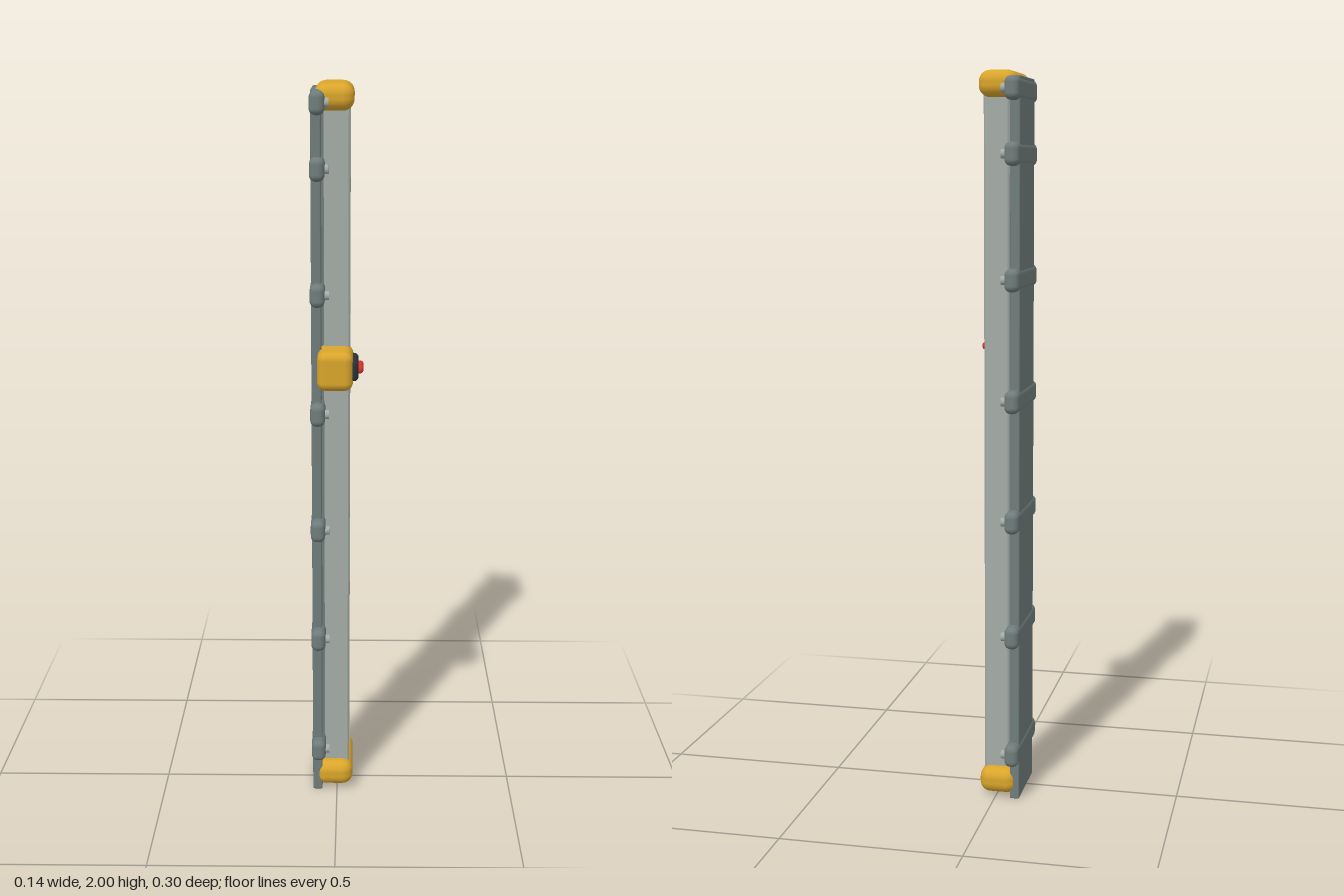
import * as THREE from 'three';
import { RoundedBoxGeometry } from 'three/addons/geometries/RoundedBoxGeometry.js';

const material = (name, color) => {
  const m = new THREE.MeshStandardMaterial({ color });
  m.name = name;
  return m;
};

export function createModel() {
  const yellow = material('yellow plastic', 0xd9a52b);
  const aluminium = material('light aluminium', 0xa4aba5);
  const steel = material('grey steel', 0x6f7c7b);
  const floorDark = material('dark channel', 0x37474a);
  const black = material('black panel', 0x2b3236);
  const red = material('red light', 0xd8332c);

  const model = new THREE.Group();
  model.name = 'wallRail';

  const add = (name, geometry, mat, parent = model) => {
    const mesh = new THREE.Mesh(geometry, mat);
    mesh.name = name;
    parent.add(mesh);
    return mesh;
  };
  // Box given by its limits on each axis, with optional rounded edges
  const block = (name, mat, [x0, x1], [y0, y1], [z0, z1], r = 0, parent = model) => {
    const size = [x1 - x0, y1 - y0, z1 - z0];
    const g = r ? new RoundedBoxGeometry(...size, 4, r) : new THREE.BoxGeometry(...size);
    const mesh = add(name, g, mat, parent);
    mesh.position.set((x0 + x1) / 2, (y0 + y1) / 2, (z0 + z1) / 2);
    return mesh;
  };

  // Mounting plate and the spine that joins it to the rail
  block('backPlate', steel, [-0.069, -0.042], [0, 1.985], [-0.114, 0.082], 0.004);
  block('spine', steel, [-0.045, -0.03], [0.04, 1.95], [-0.075, 0.04]);

  // U-shaped rail, open towards +x (profile in x and -z)
  const c = 0.005;
  const profile = new THREE.Shape([
    [-0.035, -0.055 + c], [-0.035 + c, -0.055], [0.035 - c, -0.055], [0.035, -0.055 + c],
    [0.035, -0.032], [0, -0.032], [0, 0.063], [0.035, 0.063],
    [0.035, 0.089 - c], [0.035 - c, 0.089], [-0.035 + c, 0.089], [-0.035, 0.089 - c],
  ].map(([x, y]) => new THREE.Vector2(x, y)));
  const railGeometry = new THREE.ExtrudeGeometry(profile, { depth: 1.9, bevelEnabled: false });
  railGeometry.rotateX(-Math.PI / 2);
  add('rail', railGeometry, aluminium).position.y = 0.05;
  block('channelFloor', floorDark, [-0.002, 0.004], [0.05, 1.95], [-0.063, 0.032]);

  // End caps
  block('bottomCap', yellow, [-0.06, 0.045], [0.012, 0.085], [-0.124, 0.09], 0.03);
  block('topCap', yellow, [-0.06, 0.045], [1.93, 2], [-0.124, 0.09], 0.03);

  // Mounting brackets with a screw at each end
  const screw = new THREE.CylinderGeometry(0.012, 0.012, 0.02, 20);
  screw.rotateZ(Math.PI / 2);
  for (const y of [0.135, 0.476, 0.8, 1.13, 1.455, 1.784, 1.952]) {
    const bracket = new THREE.Group();
    bracket.name = 'bracket';
    bracket.position.y = y;
    model.add(bracket);
    block('bracketBar', steel, [-0.072, -0.032], [-0.031, 0.031], [-0.152, 0.117], 0.017, bracket);
    for (const z of [-0.126, 0.09]) {
      add('screw', screw, aluminium, bracket).position.set(-0.031, 0, z);
    }
  }

  // Sliding carriage with its indicator
  const carriage = new THREE.Group();
  carriage.name = 'carriage';
  model.add(carriage);
  block('carriageBody', yellow, [-0.052, 0.043], [1.206, 1.311], [0.013, 0.15], 0.022, carriage);
  block('indicatorPanel', black, [0.03, 0.058], [1.231, 1.288], [0.022, 0.136], 0.013, carriage);
  block('indicatorLight', red, [0.05, 0.071], [1.249, 1.271], [0.043, 0.118], 0.009, carriage);

  return model;
}
